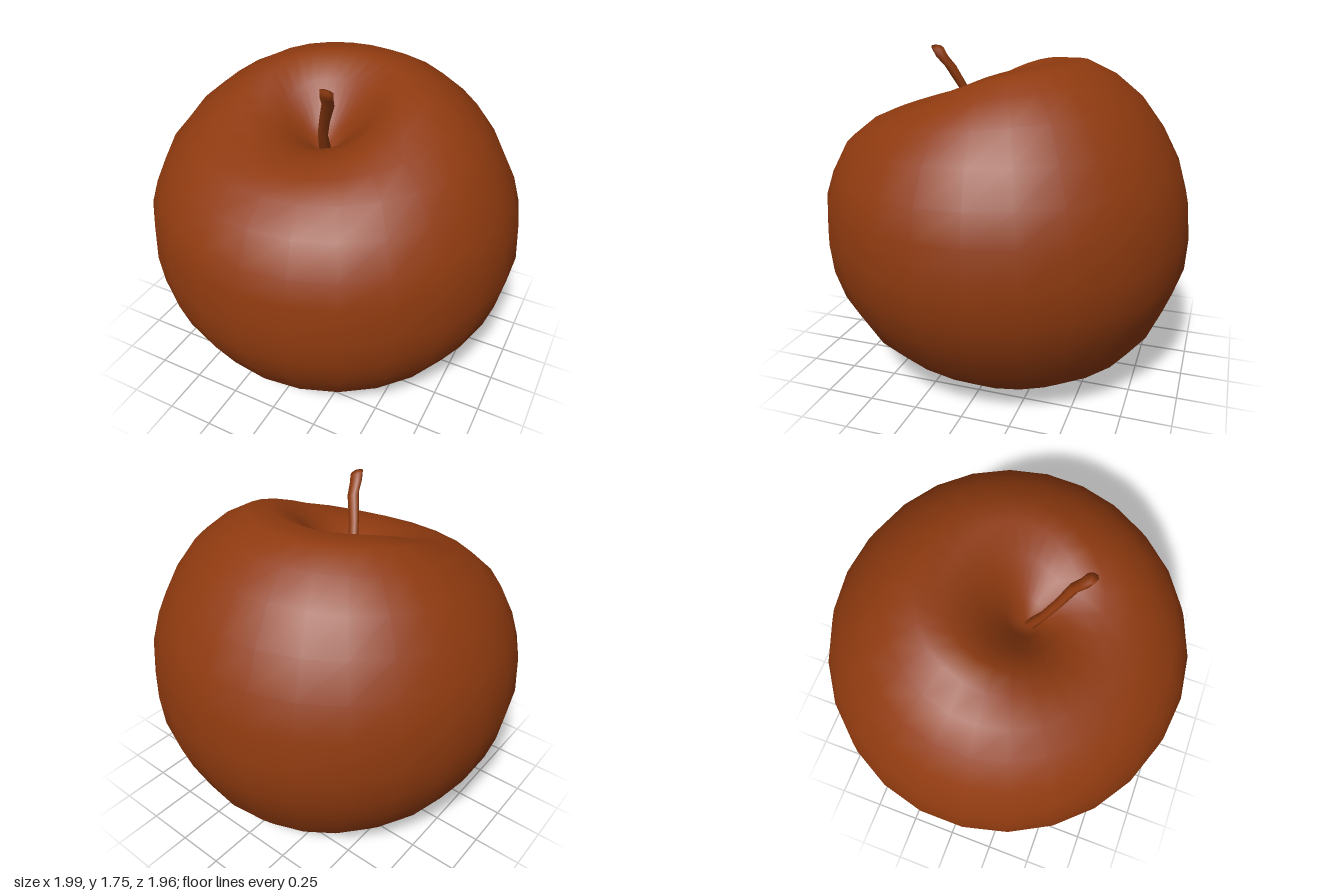
import * as THREE from 'three';

// Skin a stack of closed rings (bottom to top) between two pole points.
function loft(bottom, rings, top) {
  const n = rings[0].length;
  const points = [bottom, ...rings.flat(), top];
  const last = points.length - 1;
  const at = (i, j) => 1 + i * n + (j % n);
  const index = [];
  for (let j = 0; j < n; j++) {
    index.push(0, at(0, j + 1), at(0, j));
    for (let i = 0; i < rings.length - 1; i++) {
      const a = at(i, j), b = at(i, j + 1), c = at(i + 1, j), d = at(i + 1, j + 1);
      index.push(a, b, d, a, d, c);
    }
    index.push(at(rings.length - 1, j), at(rings.length - 1, j + 1), last);
  }
  const geometry = new THREE.BufferGeometry().setFromPoints(points);
  geometry.setIndex(index);
  geometry.computeVertexNormals();
  return geometry;
}

function ring(sides, place) {
  return Array.from({ length: sides }, (_, j) => {
    const t = (j / sides) * Math.PI * 2;
    return place(Math.sin(t), Math.cos(t));
  });
}

export function createModel() {
  const group = new THREE.Group();
  group.name = 'apple';
  const skin = new THREE.MeshStandardMaterial({ color: 0x8f3a0f });
  skin.name = 'russet brown';
  const add = (name, geometry) => {
    const mesh = new THREE.Mesh(geometry, skin);
    mesh.name = name;
    group.add(mesh);
    return mesh;
  };

  // Fruit: tilted rings as [front z, front y, back z, back y, half width, side lift, x shift]
  const stations = [
    [0.09, 0.13, -0.09, 0.13, 0.09, 0, -0.06],
    [0.2, 0.05, -0.2, 0.06, 0.2, 0, -0.04],
    [0.33, 0.01, -0.34, 0.03, 0.36, 0, -0.01],
    [0.48, 0.06, -0.56, 0.05, 0.53, 0, 0],
    [0.68, 0.18, -0.74, 0.17, 0.7, 0, 0],
    [0.81, 0.3, -0.84, 0.3, 0.82, 0, 0],
    [0.92, 0.5, -0.92, 0.48, 0.93, 0, 0],
    [0.97, 0.65, -0.97, 0.63, 0.975, 0, 0],
    [0.98, 0.8, -0.98, 0.8, 1, 0, 0],
    [0.97, 1, -0.96, 1, 0.985, 0, 0],
    [0.93, 1.12, -0.91, 1.17, 0.94, 0, 0],
    [0.85, 1.27, -0.82, 1.34, 0.86, 0, 0],
    [0.72, 1.37, -0.7, 1.5, 0.75, 0.01, 0],
    [0.6, 1.42, -0.56, 1.615, 0.62, 0.025, 0],
    [0.47, 1.435, -0.42, 1.68, 0.48, 0.05, 0],
    [0.36, 1.425, -0.28, 1.685, 0.36, 0.06, 0],
    [0.26, 1.39, -0.12, 1.6, 0.23, 0.03, 0],
    [0.18, 1.34, 0, 1.42, 0.1, 0, 0],
  ];
  const fruitRings = stations.map(([zf, yf, zb, yb, w, lift, shift]) =>
    ring(26, (s, c) => new THREE.Vector3(
      shift + w * s,
      (yf + yb) / 2 + ((yf - yb) / 2) * c + lift * s * s,
      (zf + zb) / 2 + ((zf - zb) / 2) * c)));
  add('fruit', loft(new THREE.Vector3(-0.06, 0.16, 0), fruitRings, new THREE.Vector3(0, 1.3, 0.1)));

  // Stem: leaning, slightly kinked and flared at the tip, as [x, y, z, radius]
  const stemPath = [
    [0, 1.28, 0.11, 0.036],
    [0.02, 1.43, 0.18, 0.026],
    [0.06, 1.54, 0.235, 0.027],
    [0.105, 1.65, 0.285, 0.031],
    [0.12, 1.7, 0.325, 0.033],
    [0.13, 1.745, 0.345, 0.033],
  ];
  const stemRings = stemPath.map(([x, y, z, r]) =>
    ring(8, (s, c) => new THREE.Vector3(x + r * s, y + 0.25 * r * (c - s), z + r * c)));
  add('stem', loft(new THREE.Vector3(0, 1.27, 0.11), stemRings, new THREE.Vector3(0.13, 1.75, 0.345)));

  // Calyx: dried, uneven sepals in the bottom hollow
  const calyx = new THREE.Group();
  calyx.name = 'calyx';
  calyx.position.set(-0.06, 0.14, 0);
  group.add(calyx);
  for (let i = 0; i < 5; i++) {
    const geometry = new THREE.ConeGeometry(0.045, 0.13 + 0.02 * (i % 3), 5, 2);
    geometry.scale(1, 1, 0.3);
    geometry.translate(0, 0.06, 0);
    geometry.rotateX(Math.PI - 0.75 - 0.25 * (i % 2));
    geometry.rotateY((i * Math.PI * 2) / 5 + 0.2 * (i % 2));
    const sepal = add('sepal', geometry);
    calyx.add(sepal);
  }
  return group;
}
